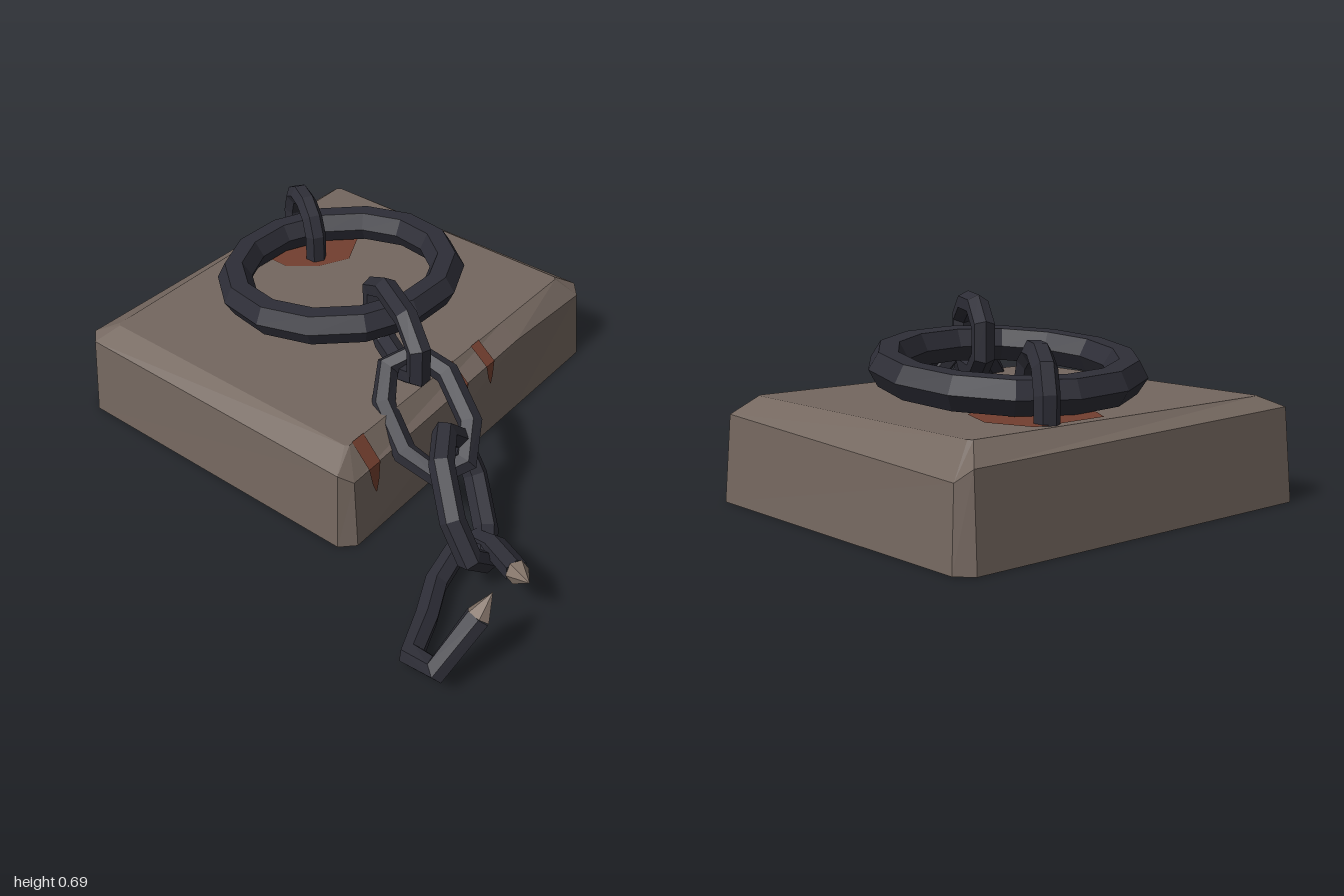
import * as THREE from 'three';

const flat = (name, color) => Object.assign(new THREE.MeshStandardMaterial({ color, flatShading: true }), { name });
const V = (x, y, z) => new THREE.Vector3(x, y, z);

// Angular path that puts one tube ring exactly on each point
class PolyPath extends THREE.Curve {
  constructor(points, closed) {
    super();
    this.p = points;
    this.closed = closed;
    this.n = closed ? points.length : points.length - 1;
  }
  at(i) {
    const m = this.p.length;
    return this.closed ? this.p[(i + m) % m] : this.p[Math.min(Math.max(i, 0), m - 1)];
  }
  getPoint(t, target = V(0, 0, 0)) {
    const i = Math.floor(t * this.n + 1e-6);
    return target.lerpVectors(this.at(i), this.at(i + 1), Math.max(0, t * this.n - i));
  }
  getPointAt(t, target) { return this.getPoint(t, target); }
  getTangentAt(t, target = V(0, 0, 0)) {
    const i = Math.round(t * this.n), c = this.at(i);
    const before = c.clone().sub(this.at(i - 1)).normalize();
    return target.copy(this.at(i + 1)).sub(c).normalize().add(before).normalize();
  }
}

function bar(points, radius, closed) {
  const path = new PolyPath(points, closed);
  return new THREE.TubeGeometry(path, path.n, radius, 6, closed);
}

// Eight-cornered chain link: centre, long direction, rough short direction
function linkGeometry(centre, along, across, L, H) {
  const u = along.clone().normalize();
  const v = across.clone().addScaledVector(u, -across.dot(u)).normalize();
  const outline = [[1, -0.45], [1, 0.45], [0.45, 1], [-0.45, 1], [-1, 0.45], [-1, -0.45], [-0.45, -1], [0.45, -1]];
  return bar(outline.map(([a, b]) => centre.clone().addScaledVector(u, a * L).addScaledVector(v, b * H)), 0.044, true);
}

// Rectangular loop with cut corners and one extra point on the front edge
function blockLoop(x0, x1, z0, z1, c, heights) {
  return [[x0 + c, z1], [0.43, z1], [x1 - c, z1], [x1, z1 - c], [x1, z0 + c],
    [x1 - c, z0], [x0 + c, z0], [x0, z0 + c], [x0, z1 - c]].map(([x, z], i) => [x, heights[i] ?? heights[0], z]);
}

function blockGeometry() {
  const loops = [
    blockLoop(-0.6, 0.92, -1, 0.32, 0.05, [0]),
    blockLoop(-0.58, 0.9, -0.975, 0.3, 0.04, [0.275, 0.31, 0.285, 0.305, 0.26, 0.3, 0.33, 0.32, 0.31]),
    blockLoop(-0.49, 0.81, -0.9, 0.23, 0.012, [0.365]),
  ];
  const n = 9, index = [];
  for (let r = 0; r < 2; r++) {
    for (let i = 0; i < n; i++) {
      const a = r * n + i, b = r * n + (i + 1) % n;
      index.push(a, b, b + n, a, b + n, a + n);
    }
  }
  for (let i = 1; i < n - 1; i++) {
    index.push(0, i + 1, i, 2 * n, 2 * n + i, 2 * n + i + 1);
  }
  const g = new THREE.BufferGeometry();
  g.setAttribute('position', new THREE.Float32BufferAttribute(loops.flat(2), 3));
  g.setIndex(index);
  g.computeVertexNormals();
  return g;
}

// Rust streak running over the front bevel and tapering down the face
function dripGeometry(x, w, end) {
  const edge = 0.275 + (x + 0.54) * 0.036, o = 0.005;
  const faceZ = y => 0.32 - 0.02 * y / edge + o;
  const low = end + (edge - end) * 0.4;
  const rows = [[0.365 + o, 0.23, w], [edge + o, 0.3 + o, w], [low, faceZ(low), w * 0.6], [end, faceZ(end), w * 0.1]];
  const pos = rows.flatMap(([y, z, h]) => [x - h, y, z, x + h, y, z]);
  const index = [0, 2, 4].flatMap(a => [a, a + 2, a + 3, a, a + 3, a + 1]);
  const g = new THREE.BufferGeometry();
  g.setAttribute('position', new THREE.Float32BufferAttribute(pos, 3));
  g.setIndex(index);
  g.computeVertexNormals();
  return g;
}

export function createModel() {
  const model = new THREE.Group();
  const stone = flat('stone', 0x74675f);
  const iron = flat('dark iron', 0x2e2e37);
  const rust = flat('rust', 0x733f2f);
  const bare = flat('bare metal', 0x85756a);
  const add = (name, geometry, material) => {
    const m = new THREE.Mesh(geometry, material);
    m.name = name;
    model.add(m);
    return m;
  };

  add('stoneBlock', blockGeometry(), stone);

  // Rust patch under the staple
  const patch = new THREE.Shape([[0.2, 0.8], [0.2, 0.66], [0.28, 0.56], [0.4, 0.5], [0.54, 0.57], [0.6, 0.72], [0.54, 0.88], [0.25, 0.88]]
    .map(([x, y]) => new THREE.Vector2(x, y)));
  add('rustPatch', new THREE.ShapeGeometry(patch).rotateX(-Math.PI / 2).translate(0, 0.369, 0), rust);

  // Rust streaks on the front
  [[0.065, 0.045, 0.13], [0.25, 0.025, 0.22], [-0.435, 0.03, 0.17]]
    .forEach(([x, w, end], i) => add('rustStreak' + (i + 1), dripGeometry(x, w, end), rust));

  // Large ring, resting slightly tilted
  const ring = add('largeRing', new THREE.TorusGeometry(0.41, 0.067, 6, 14).rotateX(Math.PI / 2), iron);
  ring.position.set(0.195, 0.47, -0.37);
  ring.rotation.set(-0.095, 0, -0.03);

  // Staple holding the ring to the block
  const arch = [[-1, 0.33], [-1, 0.47], [-0.75, 0.53], [-0.28, 0.565], [0.28, 0.565], [0.75, 0.53], [1, 0.45], [1, 0.33]];
  add('staple', bar(arch.map(([t, y]) => V(0.395 + 0.068 * t, y, -0.73 - 0.118 * t)), 0.042, false), iron);

  // Chain
  add('chainLink1', linkGeometry(V(-0.035, 0.525, 0.08), V(-0.5, 0, 0.87), V(0, 1, 0), 0.21, 0.118), iron);
  add('chainLink2', linkGeometry(V(-0.18, 0.365, 0.33), V(-0.1, -0.11, 0.2), V(0.22, 0.14, 0.06), 0.22, 0.125), iron);
  add('chainLink3', linkGeometry(V(-0.35, 0.26, 0.62), V(-0.24, -0.25, 0.29), V(-0.11, 0.1, 0), 0.215, 0.135), iron);

  // Broken last link with two sharp ends
  const broken = [[-0.74, 0.245, 0.955], [-0.885, 0.1, 0.91], [-0.855, 0.05, 0.79], [-0.7, 0.045, 0.73], [-0.56, 0.05, 0.665],
    [-0.43, 0.07, 0.645], [-0.35, 0.1, 0.69], [-0.375, 0.14, 0.77], [-0.47, 0.195, 0.92]].map(p => V(...p));
  add('brokenLink', bar(broken, 0.043, false), iron);
  [[broken[0], V(-0.68, 0.31, 0.965)], [broken[8], V(-0.515, 0.23, 0.995)]].forEach(([base, tip], i) => {
    const dir = tip.clone().sub(base), len = dir.length();
    const cone = add('brokenTip' + (i + 1), new THREE.ConeGeometry(0.042, len, 6).translate(0, len / 2, 0), bare);
    cone.position.copy(base);
    cone.quaternion.setFromUnitVectors(V(0, 1, 0), dir.normalize());
  });

  return model;
}
